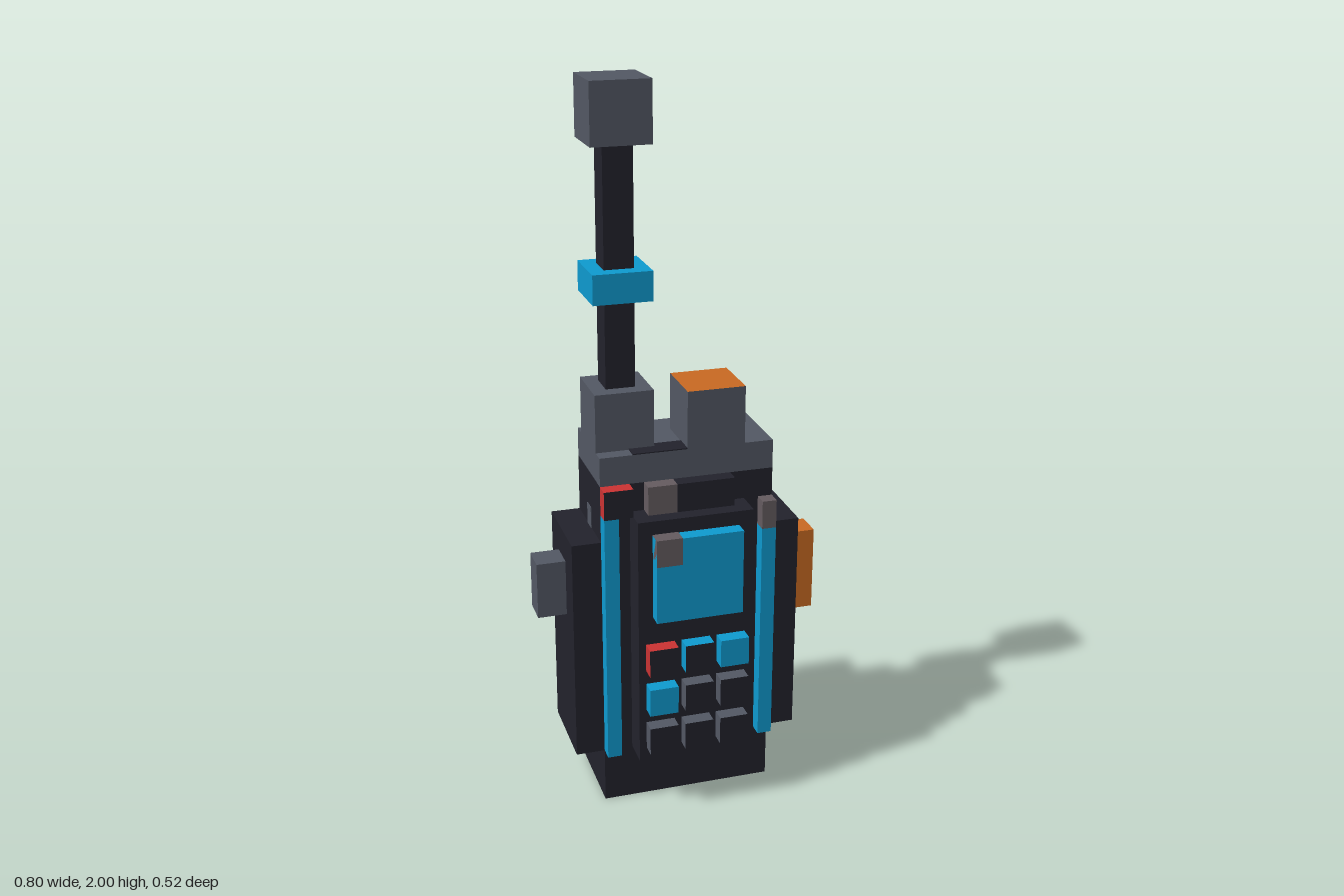
import * as THREE from 'three';

const mat = (name, color) => {
  const m = new THREE.MeshStandardMaterial({ color });
  m.name = name;
  return m;
};

export function createModel() {
  const group = new THREE.Group();
  const dark = mat('dark casing', 0x22222c);
  const grey = mat('grey trim', 0x535864);
  const cyan = mat('cyan accent', 0x0e9bd0);
  const orange = mat('orange button', 0xc96a22);
  const red = mat('red light', 0xcc3333);
  const glint = mat('muted glint', 0x655c60);

  // Box from its min and max corners; faces overrides sides in order +x -x +y -y +z -z
  const box = (name, material, [x0, y0, z0], [x1, y1, z1], faces = {}) => {
    const geo = new THREE.BoxGeometry(x1 - x0, y1 - y0, z1 - z0);
    const mats = ['px', 'nx', 'py', 'ny', 'pz', 'nz'].map((k) => faces[k] || material);
    const mesh = new THREE.Mesh(geo, Object.keys(faces).length ? mats : material);
    mesh.position.set((x0 + x1) / 2, (y0 + y1) / 2, (z0 + z1) / 2);
    mesh.name = name;
    group.add(mesh);
    return mesh;
  };

  // Casing and cap
  box('body', dark, [-0.24, 0, -0.1], [0.24, 0.96, 0.14]);
  box('cap', grey, [-0.24, 0.96, -0.1], [0.24, 1.04, 0.14]);
  box('capInset', dark, [-0.08, 1.04, 0.08], [0, 1.043, 0.14]);
  box('capInsetSide', dark, [-0.15, 1.04, 0.1], [-0.08, 1.043, 0.14]);

  // Side grips, front light strips and worn spots on both flanks
  for (const s of [-1, 1]) {
    const span = (a, b) => [Math.min(s * a, s * b), Math.max(s * a, s * b)];
    const [g0, g1] = span(0.24, 0.32);
    box('sideGrip', dark, [g0, 0.16, -0.1], [g1, 0.8, 0.14]);
    const [c0, c1] = span(0.2, 0.24);
    box('lightStrip', cyan, [c0, 0.16, 0.14], [c1, s > 0 ? 0.8 : 0.88, 0.18]);
    const [w0, w1] = span(0.24, 0.242);
    box('flankSpot', grey, [w0, 0.8, 0], [w1, 0.86, 0.04]);
  }
  box('stripEnd', glint, [0.2, 0.8, 0.14], [0.24, 0.88, 0.18]);

  // Side buttons
  box('talkButton', orange, [0.32, 0.48, -0.02], [0.4, 0.72, 0.06]);
  box('sideButton', grey, [-0.4, 0.56, -0.02], [-0.32, 0.72, 0.06]);

  // Front panel, speaker, status light and screen
  box('frontPanel', dark, [-0.16, 0.16, 0.14], [0.16, 0.88, 0.22]);
  box('speaker', dark, [-0.04, 0.88, 0.14], [0.12, 0.96, 0.18]);
  box('speakerGlint', glint, [-0.12, 0.88, 0.14], [-0.04, 0.96, 0.18]);
  box('statusLight', red, [-0.24, 0.88, 0.14], [-0.16, 0.96, 0.18], { pz: dark });
  box('screen', cyan, [-0.12, 0.6, 0.22], [0.12, 0.84, 0.26]);
  box('screenGlint', glint, [-0.12, 0.765, 0.22], [-0.05, 0.842, 0.262]);

  // Keypad: [side colour, front colour] by row, top to bottom
  const keys = [
    [[red, dark], [cyan, dark], [cyan, cyan]],
    [[cyan, cyan], [grey, dark], [grey, dark]],
    [[grey, dark], [grey, dark], [grey, dark]],
  ];
  keys.forEach((row, r) => row.forEach(([side, front], c) => {
    const x = -0.14 + c * 0.1;
    const y = 0.44 - r * 0.12;
    box('key', side, [x, y, 0.22], [x + 0.08, y + 0.08, 0.26], { pz: front });
  }));

  // Battery plate and belt clip on the back
  box('batteryPlate', grey, [-0.2, 0.16, -0.18], [0.2, 0.8, -0.1], { nz: dark, ny: dark });
  box('beltClip', grey, [-0.08, 0.4, -0.26], [0.08, 0.8, -0.18]);
  box('clipPad', grey, [-0.08, 0.24, -0.182], [0.08, 0.4, -0.18]);
  box('backSpot', grey, [0.02, 0.8, -0.102], [0.13, 0.88, -0.1]);

  // Antenna and knob
  box('antennaBase', grey, [-0.24, 1.04, -0.06], [-0.08, 1.2, 0.1]);
  box('antennaRod', dark, [-0.2, 1.2, -0.02], [-0.12, 1.84, 0.06]);
  box('antennaRing', cyan, [-0.24, 1.44, -0.06], [-0.08, 1.52, 0.1]);
  box('antennaTip', grey, [-0.24, 1.84, -0.06], [-0.08, 2, 0.1]);
  box('knob', grey, [0, 1.04, -0.02], [0.16, 1.2, 0.14], { py: orange });

  return group;
}
